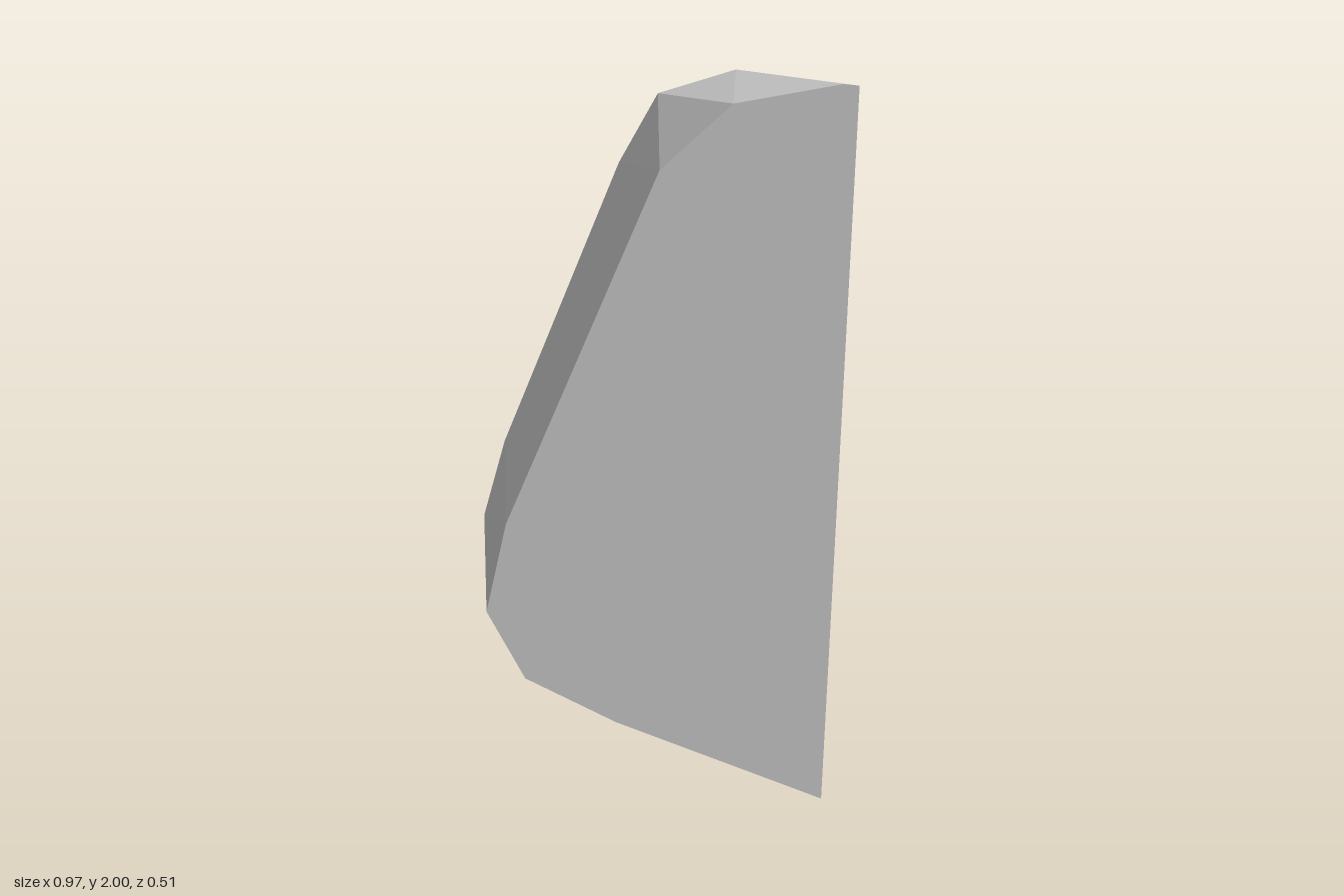
import * as THREE from 'three';
import { ConvexGeometry } from 'three/addons/geometries/ConvexGeometry.js';

// Outlines of the two parallel flat faces, as [x, y]
const frontOutline = [
  [0.485, 0.015], [-0.07, 0.24], [-0.31, 0.37], [-0.405, 0.575], [-0.345, 0.84],
  [0.042, 1.79], [0.207, 1.95], [0.45, 2.0], [0.485, 1.997],
];
const backOutline = [
  [0.485, 0], [-0.06, 0.21], [-0.33, 0.33], [-0.487, 0.42], [-0.487, 0.57],
  [-0.42, 0.81], [-0.095, 1.63], [0.005, 1.815], [0.2, 1.88], [0.485, 1.825],
];
const halfDepth = 0.253;

export function createModel() {
  const group = new THREE.Group();
  group.name = 'stoneShard';

  const stone = new THREE.MeshStandardMaterial({ color: 0xcccccc });
  stone.name = 'stone grey';

  // Faceted block skinned between the front and back outlines
  const points = [
    ...frontOutline.map(([x, y]) => new THREE.Vector3(x, y, halfDepth)),
    ...backOutline.map(([x, y]) => new THREE.Vector3(x, y, -halfDepth)),
  ];
  const shard = new THREE.Mesh(new ConvexGeometry(points), stone);
  shard.name = 'shard';
  group.add(shard);

  return group;
}
